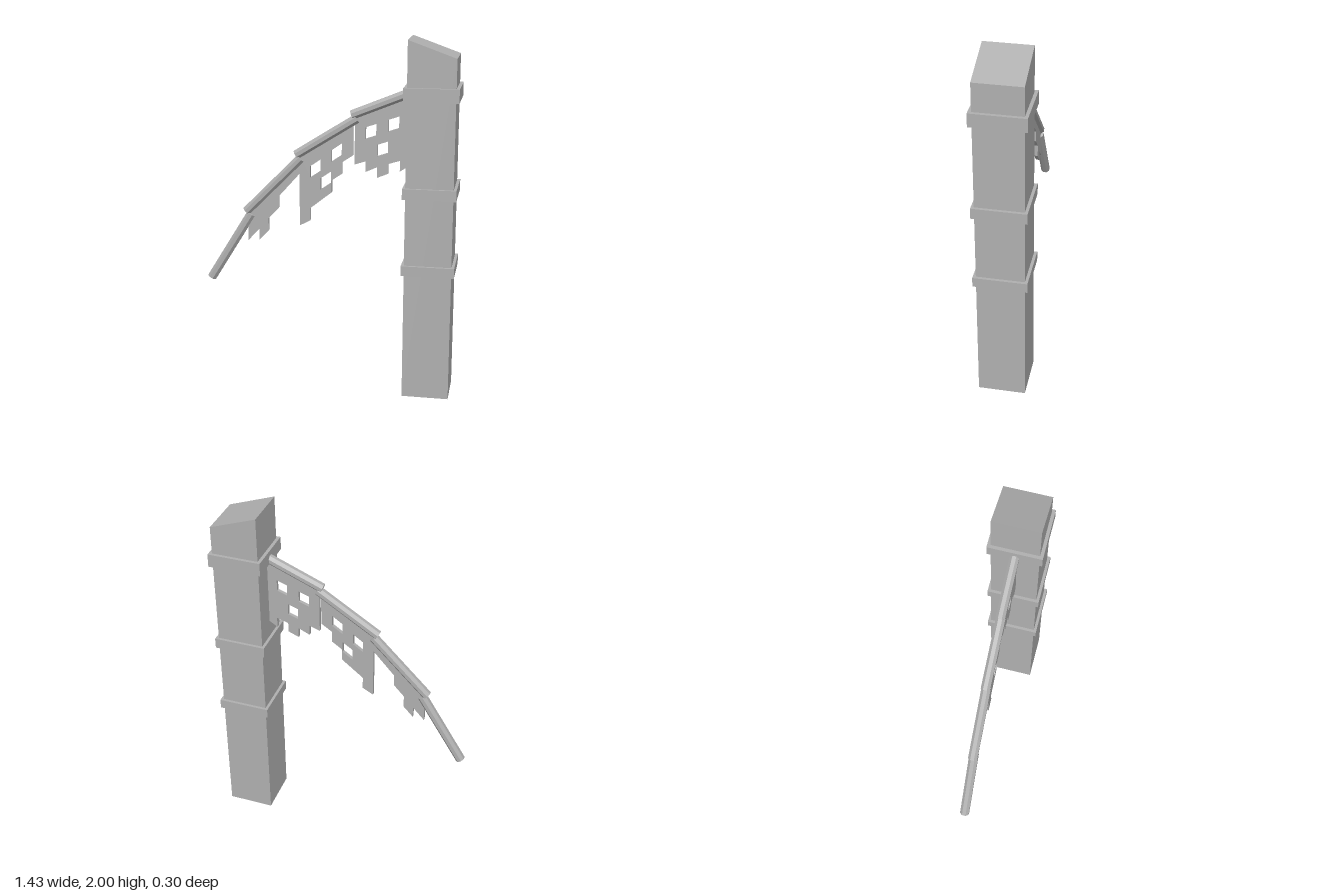
import * as THREE from 'three';

const V2 = (p) => new THREE.Vector2(p[0], p[1]);

export function createModel() {
  const model = new THREE.Group();
  const stone = new THREE.MeshStandardMaterial({ color: 0xb0b0b0 });

  const add = (name, geometry, x = 0, y = 0, z = 0) => {
    const mesh = new THREE.Mesh(geometry, stone);
    mesh.name = name;
    mesh.position.set(x, y, z);
    model.add(mesh);
    return mesh;
  };

  // Upright square post with a slanted top
  const postX = 0.565;
  const half = 0.13;
  const outline = new THREE.Shape([
    [postX - half, 0], [postX + half, 0], [postX + half, 1.907], [postX - half, 2],
  ].map(V2));
  add('post', new THREE.ExtrudeGeometry(outline, { depth: half * 2, bevelEnabled: false }), 0, 0, -half);

  // Three collars: [bottom, top, width]
  [[0.717, 0.772, 0.292], [1.146, 1.206, 0.292], [1.675, 1.75, 0.296]].forEach(([y0, y1, w], i) => {
    add('collar' + (i + 1), new THREE.BoxGeometry(w, y1 - y0, w), postX, (y0 + y1) / 2, 0);
  });

  // Curved arm made of overlapping eight-sided rods
  const rods = [
    [[-0.693, 0.601], [-0.452, 0.992]],
    [[-0.479, 1.005], [-0.164, 1.323]],
    [[-0.19, 1.341], [0.151, 1.556]],
    [[0.122, 1.574], [0.45, 1.708]],
  ];
  rods.forEach(([a, b], i) => {
    const dx = b[0] - a[0];
    const dy = b[1] - a[1];
    const geometry = new THREE.CylinderGeometry(0.027, 0.027, Math.hypot(dx, dy), 8).toNonIndexed();
    geometry.rotateY(Math.PI / 8);
    geometry.computeVertexNormals();
    const rod = add('armRod' + (i + 1), geometry, (a[0] + b[0]) / 2, (a[1] + b[1]) / 2, 0);
    rod.rotation.z = Math.atan2(dy, dx) - Math.PI / 2;
  });

  // Ragged hanging panels; each hole is a slanted window given by its lower left corner
  const thick = 0.02;
  const panel = (name, points, holes = [], rise = 0) => {
    const shape = new THREE.Shape(points.map(V2));
    holes.forEach(([x, y]) => {
      const w = 0.058;
      const h = 0.065;
      shape.holes.push(new THREE.Path(
        [[x, y], [x, y + h], [x + w, y + h + rise], [x + w, y + rise]].map(V2)));
    });
    add(name, new THREE.ExtrudeGeometry(shape, { depth: thick, bevelEnabled: false }), 0, 0, -thick / 2);
  };

  panel('innerPanel', [
    [0.14, 1.575], [0.14, 1.3], [0.2, 1.32], [0.2, 1.26], [0.265, 1.29], [0.265, 1.23],
    [0.325, 1.255], [0.325, 1.31], [0.39, 1.33], [0.39, 1.27], [0.45, 1.31], [0.45, 1.705],
  ], [[0.2, 1.445], [0.325, 1.49], [0.265, 1.35]], 0.02);

  panel('middlePanel', [
    [-0.17, 1.345], [-0.17, 0.937], [-0.11, 0.97], [-0.11, 1.04], [0.012, 1.137], [0.012, 1.205],
    [0.07, 1.245], [0.07, 1.31], [0.13, 1.35], [0.13, 1.54],
  ], [[-0.11, 1.215], [0.01, 1.31], [-0.05, 1.15]], 0.04);

  panel('outerPanel', [
    [-0.47, 1.01], [-0.47, 0.835], [-0.405, 0.905], [-0.405, 0.84], [-0.35, 0.9], [-0.35, 0.97],
    [-0.29, 1.035], [-0.29, 1.1], [-0.17, 1.235], [-0.17, 1.315],
  ]);

  return model;
}
